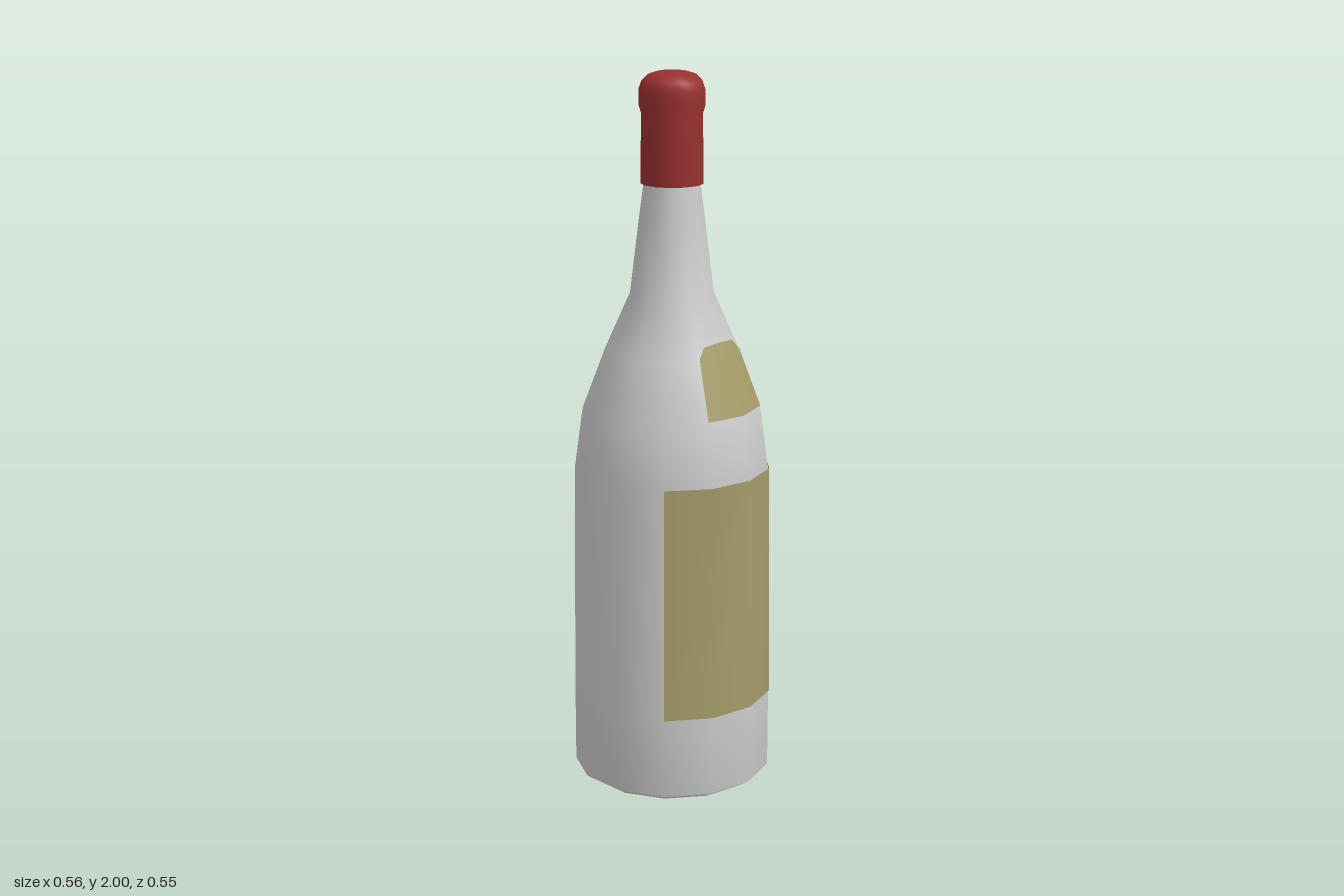
import * as THREE from 'three';

const SIDES = 13;
// Bottle profile as [radius, height], base to neck
const PROFILE = [
  [0, 0.005], [0.23, 0.005], [0.249, 0.008], [0.279, 0.028], [0.279, 0.25], [0.273, 0.905],
  [0.249, 1.08], [0.185, 1.25], [0.116, 1.405], [0.092, 1.6], [0.08, 1.69], [0.078, 1.72],
];
const CAP = [
  [0.076, 1.702], [0.086, 1.7], [0.084, 1.89], [0.09, 1.91], [0.09, 1.955], [0.083, 1.975],
  [0.066, 1.992], [0.04, 2], [0, 2],
];

function lathe(name, profile, color) {
  const points = profile.map(([r, y]) => new THREE.Vector2(r, y));
  const geometry = new THREE.LatheGeometry(points, SIDES, Math.PI);
  const mesh = new THREE.Mesh(geometry, new THREE.MeshStandardMaterial({ color, side: THREE.DoubleSide }));
  mesh.name = name;
  return mesh;
}

function radiusAt(y) {
  const i = PROFILE.findIndex((p) => p[1] > y);
  const [r0, y0] = PROFILE[i - 1];
  const [r1, y1] = PROFILE[i];
  return r0 + ((r1 - r0) * (y - y0)) / (y1 - y0);
}

// Point just off the faceted glass; u counts bottle corners from the back towards +x
function onGlass(u, y) {
  const corner = (k) => {
    const a = (k * 2 * Math.PI) / SIDES;
    const r = radiusAt(y) + 0.0025;
    return new THREE.Vector3(r * Math.sin(a), y, -r * Math.cos(a));
  };
  const k = Math.floor(u);
  return corner(k).lerp(corner(k + 1), u - k);
}

// Paper label made of columns [u, top height], wrapped round the glass
function label(name, bottom, columns, rows) {
  const positions = [];
  const index = [];
  columns.forEach(([u, top], c) => {
    for (let r = 0; r <= rows; r++) {
      positions.push(...onGlass(u, bottom + ((top - bottom) * r) / rows).toArray());
      if (c < columns.length - 1 && r < rows) {
        const a = c * (rows + 1) + r;
        const b = a + rows + 1;
        index.push(a, a + 1, b, b, a + 1, b + 1);
      }
    }
  });
  const geometry = new THREE.BufferGeometry();
  geometry.setAttribute('position', new THREE.Float32BufferAttribute(positions, 3));
  geometry.setIndex(index);
  geometry.computeVertexNormals();
  const mesh = new THREE.Mesh(geometry, new THREE.MeshStandardMaterial({ color: 0xa39b68, side: THREE.DoubleSide }));
  mesh.name = name;
  return mesh;
}

export function createModel() {
  const bottle = new THREE.Group();
  bottle.name = 'bottle';
  bottle.add(
    lathe('glassBody', PROFILE, 0xcccccc),
    lathe('foilCap', CAP, 0x9a3030),
    label('mainLabel', 0.25, [2, 3, 4, 5, 6].map((u) => [u, 0.912]), 1),
    // Small shoulder label with rounded top corners
    label('shoulderLabel', 1.09, [[3, 1.25], [3.25, 1.278], [4, 1.285], [4.75, 1.278], [5, 1.25]], 3),
  );
  // Rest the base on the ground
  bottle.children.forEach((part) => {
    if (part.name === 'glassBody') part.geometry.translate(0, -0.005, 0);
  });
  return bottle;
}
